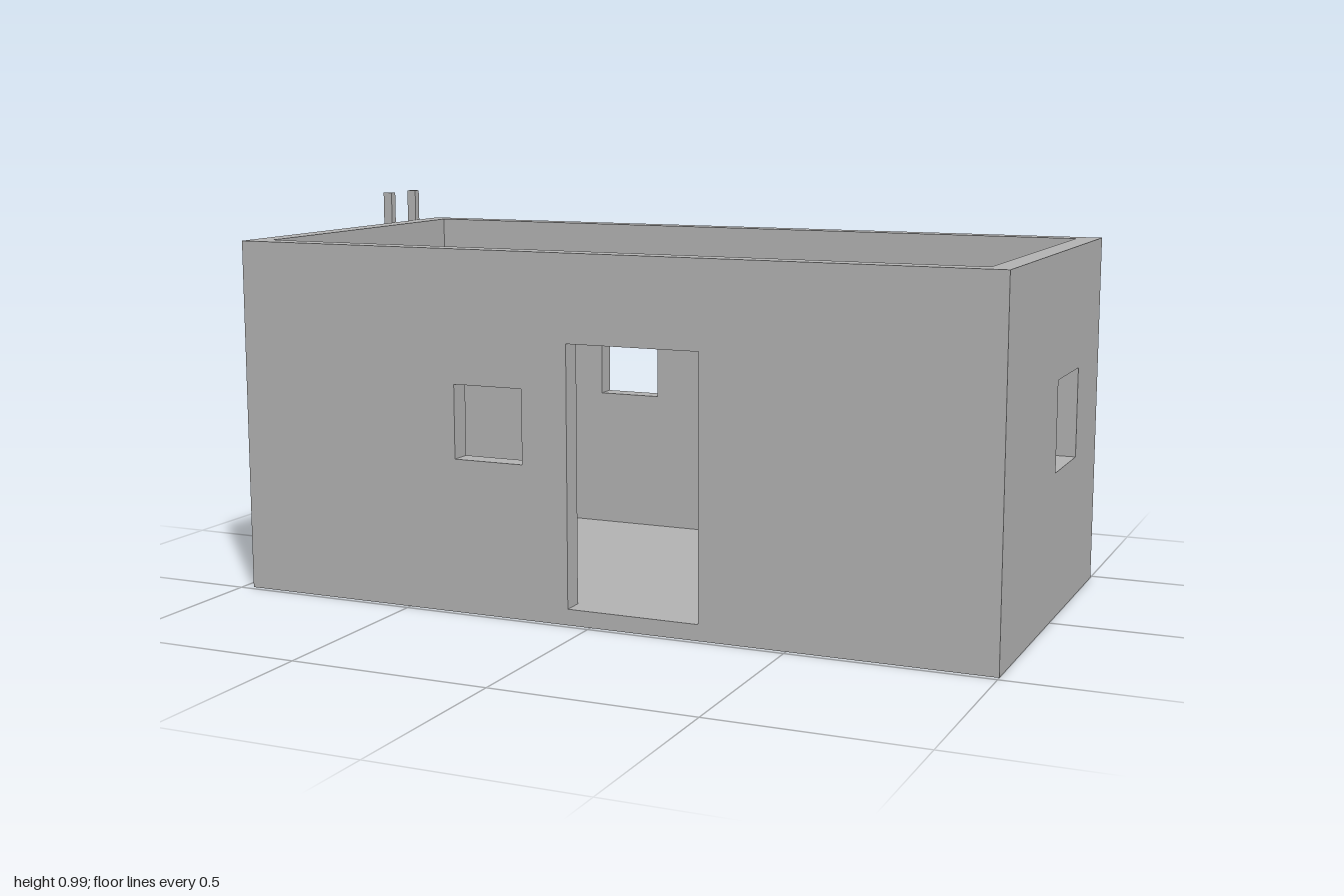
import * as THREE from 'three';

export function createModel() {
  const model = new THREE.Group();
  model.name = 'openTopHouse';
  const grey = new THREE.MeshStandardMaterial({ color: 0xb2b2b2 });
  grey.name = 'plainGrey';

  const X0 = -0.972, X1 = 1, Z = 0.485, H = 0.9, T = 0.055;
  const FLOOR = 0.04;

  const add = (parent, name, geometry) => {
    const mesh = new THREE.Mesh(geometry, grey);
    mesh.name = name;
    parent.add(mesh);
    return mesh;
  };

  // Box given by its lower and upper limits on each axis
  const box = (parent, name, [x0, x1], [y0, y1], [z0, z1]) =>
    add(parent, name, new THREE.BoxGeometry(x1 - x0, y1 - y0, z1 - z0))
      .position.set((x0 + x1) / 2, (y0 + y1) / 2, (z0 + z1) / 2);

  const rectangle = (path, u0, u1, v0, v1) =>
    path.moveTo(u0, v0).lineTo(u1, v0).lineTo(u1, v1).lineTo(u0, v1).closePath();

  // Upright wall from u0 to u1 with rectangular openings
  const wallGeometry = (u0, u1, openings) => {
    const shape = new THREE.Shape();
    rectangle(shape, u0, u1, 0, H);
    for (const o of openings) {
      const hole = new THREE.Path();
      rectangle(hole, ...o);
      shape.holes.push(hole);
    }
    return new THREE.ExtrudeGeometry(shape, { depth: T, bevelEnabled: false });
  };

  // Long walls, each with a doorway and a small window
  add(model, 'frontWall', wallGeometry(X0, X1, [
    [-0.06, 0.28, FLOOR, 0.685],
    [-0.365, -0.18, 0.385, 0.57],
  ])).position.z = Z - T;
  add(model, 'backWall', wallGeometry(X0, X1, [
    [-0.082, 0.34, FLOOR, 0.685],
    [-0.405, -0.23, 0.415, 0.575],
  ])).position.z = -Z;

  // End walls with one window each; the shape's u axis becomes -z
  const endWall = (name, x, z0, z1) => {
    const wall = add(model, name, wallGeometry(-Z + T, Z - T, [[-z1, -z0, 0.367, 0.593]]));
    wall.rotation.y = Math.PI / 2;
    wall.position.x = x;
  };
  endWall('leftWall', X1 - T, -0.245, -0.02);
  endWall('rightWall', X0, -0.027, 0.202);

  // Floor slab between the walls
  box(model, 'floor', [X0 + T, X1 - T], [0, FLOOR], [-Z + T, Z - T]);

  // Plain block furniture
  box(model, 'sideBench', [-0.91, -0.755], [FLOOR, 0.27], [-0.205, 0.095]);
  box(model, 'table', [0.78, 0.93], [FLOOR, 0.3], [0.085, 0.36]);
  box(model, 'stool', [0.82, 0.915], [FLOOR, 0.22], [-0.39, -0.26]);

  // Ladder fixed to the right wall
  const ladder = new THREE.Group();
  ladder.name = 'ladder';
  model.add(ladder);
  for (const z of [-0.375, -0.245])
    box(ladder, 'ladderRail', [-1, -0.974], [0.04, 0.985], [z - 0.01, z + 0.01]);
  for (let i = 0; i < 9; i++) {
    const y = 0.1 + i * 0.097;
    box(ladder, 'ladderRung', [-0.997, -0.977], [y - 0.009, y + 0.009], [-0.365, -0.255]);
  }

  return model;
}
